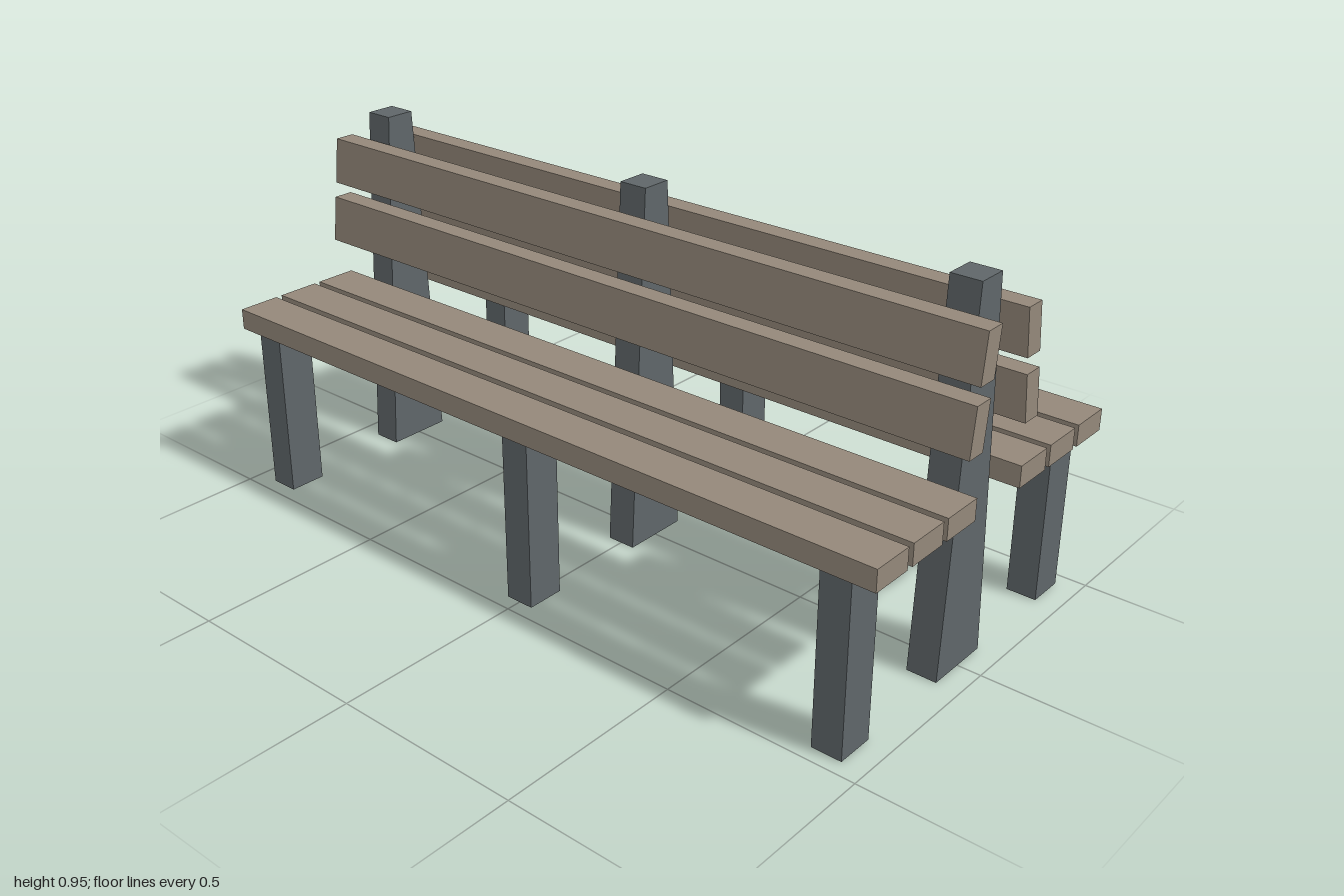
import * as THREE from 'three';

const wood = new THREE.MeshStandardMaterial({ color: 0x94887a });
wood.name = 'weathered wood';
const steel = new THREE.MeshStandardMaterial({ color: 0x5f6669, side: THREE.DoubleSide });
steel.name = 'grey steel';

// Box standing on y = 0; rule(x, y, z) returns the new z of each corner
function makeBox(w, h, d, rule) {
  const geo = new THREE.BoxGeometry(w, h, d).translate(0, h / 2, 0);
  if (rule) {
    const p = geo.attributes.position;
    for (let i = 0; i < p.count; i++) p.setZ(i, rule(p.getY(i) / h, p.getZ(i)));
    geo.computeVertexNormals();
  }
  return geo;
}

// Hollow underside: drop the downward face (fourth of the six sides)
function openBottom(geo) {
  const index = Array.from(geo.index.array);
  index.splice(18, 6);
  geo.setIndex(index);
  geo.clearGroups();
  return geo;
}

export function createModel() {
  const group = new THREE.Group();
  group.name = 'doubleSidedBench';

  const add = (name, geo, material, x, y, z) => {
    const mesh = new THREE.Mesh(geo, material);
    mesh.name = name;
    mesh.position.set(x, y, z);
    group.add(mesh);
  };

  // Tapered centre posts and straight seat legs
  const post = openBottom(makeBox(0.078, 0.95, 0.18, (t, z) => z * (1 - t * 0.555)));
  const leg = openBottom(makeBox(0.078, 0.44, 0.1));
  for (const x of [-0.9, 0, 0.9]) {
    add('post', post, steel, x, 0, 0);
    for (const side of [1, -1]) add('seatLeg', leg, steel, x, 0, side * 0.41);
  }

  const slat = makeBox(2, 0.055, 0.113);
  for (const side of [1, -1]) {
    // Three seat slats
    for (const z of [0.15, 0.28, 0.411]) add('seatSlat', slat, wood, 0, 0.44, side * z);

    // Two backrest boards, leaning in along the posts
    const board = makeBox(2, 0.12, 0.053, (t, z) => z - side * 0.014 * t);
    add('lowerBackBoard', board, wood, 0, 0.6, side * 0.115);
    add('upperBackBoard', board, wood, 0, 0.76, side * 0.095);
  }

  return group;
}
